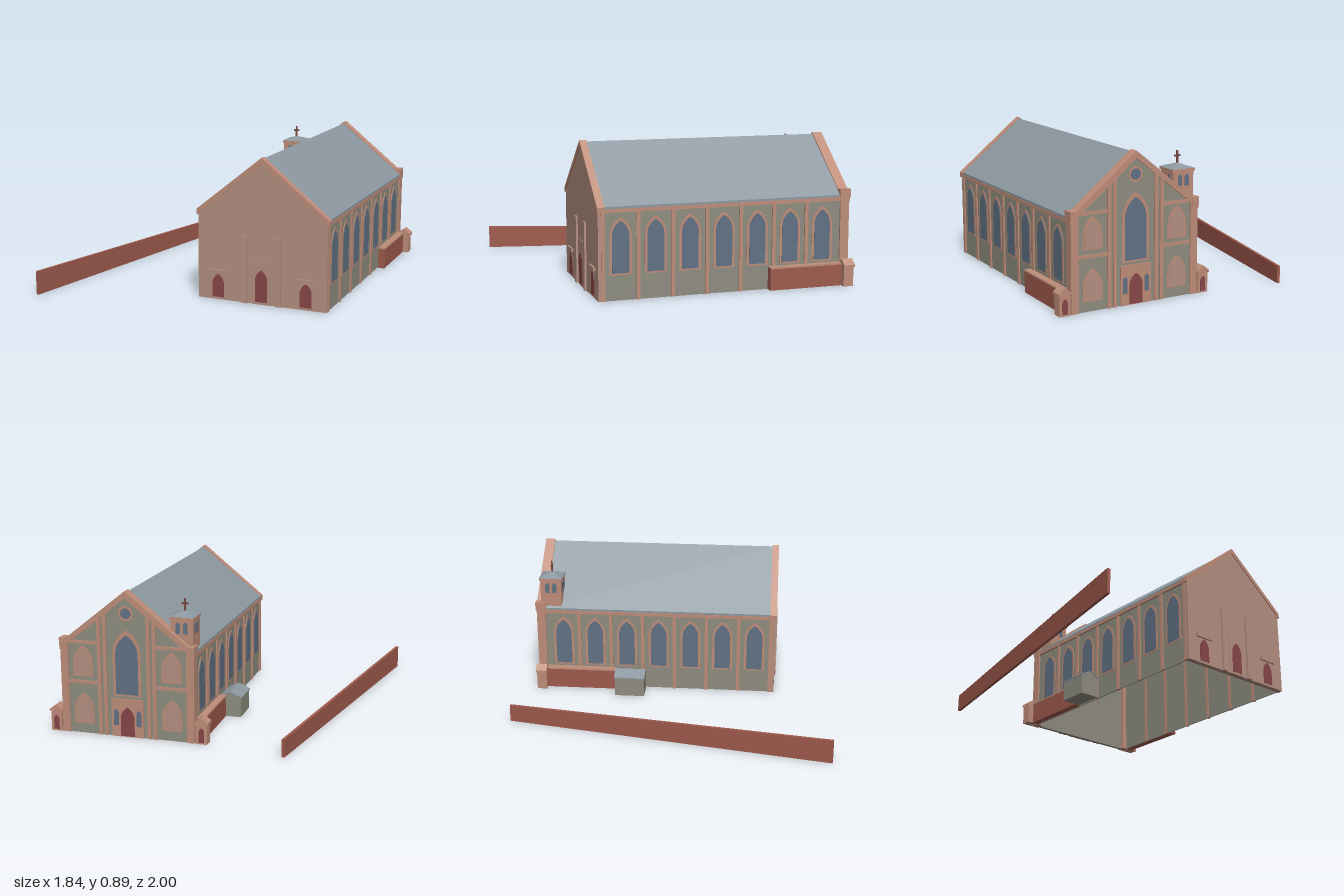
import * as THREE from 'three';

const paint = (name, color) => Object.assign(new THREE.MeshStandardMaterial({ color }), { name });
const M = {
  plaster: paint('pink plaster', 0xb48f81),
  trim: paint('pink stone trim', 0xbe8d79),
  stone: paint('grey stone', 0x8f8d80),
  roof: paint('slate roof', 0x8d98a0),
  glass: paint('blue glass', 0x607185),
  door: paint('maroon door', 0x884649),
  brick: paint('red brick', 0x9f5a4c),
  iron: paint('dark cross', 0x7a4a42),
};
const CX = 0.42; // centre line of the church

function add(parent, name, geo, mat, x = 0, y = 0, z = 0) {
  const m = new THREE.Mesh(geo, mat);
  m.name = name;
  m.position.set(x, y, z);
  parent.add(m);
  return m;
}

// Box given by its limits
function box(parent, name, mat, x0, x1, y0, y1, z0, z1) {
  return add(parent, name, new THREE.BoxGeometry(x1 - x0, y1 - y0, z1 - z0), mat,
    (x0 + x1) / 2, (y0 + y1) / 2, (z0 + z1) / 2);
}

// Outline extruded from z0 to z1
function slab(parent, name, mat, shape, z0, z1, x = 0) {
  const geo = new THREE.ExtrudeGeometry(shape, { depth: z1 - z0, bevelEnabled: false, curveSegments: 8 });
  return add(parent, name, geo, mat, x, 0, z0);
}

const poly = (pts) => new THREE.Shape(pts.map(([x, y]) => new THREE.Vector2(x, y)));

// Pointed arch of width w between y0 and the apex y1
function arch(w, y0, y1) {
  const s = y1 - w * 0.866, h = w / 2;
  const shape = new THREE.Shape();
  shape.moveTo(-h, y0);
  shape.lineTo(h, y0);
  shape.lineTo(h, s);
  shape.absarc(-h, s, w, 0, Math.PI / 3, false);
  shape.absarc(h, s, w, Math.PI * 2 / 3, Math.PI, false);
  return shape;
}

// Inverted V band, centred on x = 0
const chevron = (half, eave, apex, t) => poly([
  [-half, eave - t], [0, apex - t * 1.1], [half, eave - t], [half, eave], [0, apex], [-half, eave]]);

const gable = (half, eave, apex) => poly([[-half, 0], [half, 0], [half, eave], [0, apex], [-half, eave]]);

// Group whose local +z faces outward from the church
function facing(parent, name, angle, x, z) {
  const g = new THREE.Group();
  g.name = name;
  g.rotation.y = angle;
  g.position.set(x, 0, z);
  parent.add(g);
  return g;
}

function sideWall(root, s) {
  const g = facing(root, s > 0 ? 'leftWall' : 'rightWall', s * Math.PI / 2, CX, 0);
  const span = (name, mat, za, zb, y0, y1, d0, d1) =>
    box(g, name, mat, Math.min(-s * za, -s * zb), Math.max(-s * za, -s * zb), y0, y1, d0, d1);
  span('sideWall', M.stone, -0.87, 0.62, 0, 0.535, 0.398, 0.405);
  span('eavesBand', M.trim, -0.92, 0.645, 0.515, 0.537, 0.396, 0.418);
  for (let i = 0; i < 7; i++) {
    const z = 0.51 - i * 0.21;
    slab(g, 'windowFrame', M.trim, arch(0.132, 0.15, 0.487), 0.404, 0.408, -s * z);
    slab(g, 'windowGlass', M.glass, arch(0.102, 0.16, 0.466), 0.404, 0.41, -s * z);
    const p = z + 0.105;
    span('pilaster', M.trim, p - 0.011, p + 0.011, 0, 0.52, 0.394, 0.414);
  }
  // Low yard wall with coping
  span('yardWall', M.brick, -0.87, -0.4, 0, 0.13, 0.41, 0.453);
  span('yardWallCoping', M.trim, -0.87, -0.4, 0.13, 0.14, 0.41, 0.457);
  // Kneelers at the back corners
  span('kneeler', M.trim, -0.93, -0.86, 0.535, 0.585, 0.375, 0.42);
}

function frontWall(root) {
  const g = facing(root, 'frontWall', 0, CX, 0.61);
  slab(g, 'frontGable', M.plaster, gable(0.41, 0.535, 0.87), 0, 0.034);
  slab(g, 'frontCoping', M.trim, chevron(0.42, 0.548, 0.888, 0.032), -0.004, 0.04);
  box(g, 'portalPanel', M.plaster, -0.062, 0.062, 0, 0.285, 0.03, 0.038);
  slab(g, 'mainDoor', M.door, arch(0.078, 0.015, 0.212), 0.034, 0.04);
  for (const s of [-1, 1]) {
    box(g, 'frontPilaster', M.plaster, s * 0.107 - 0.018, s * 0.107 + 0.018, 0, 0.415, 0.03, 0.046);
    slab(g, 'sideDoor', M.door, arch(0.074, 0.015, 0.16), 0.03, 0.037, s * 0.28);
    box(g, 'doorHood', M.plaster, s * 0.28 - 0.062, s * 0.28 + 0.062, 0.165, 0.187, 0.03, 0.046);
  }
}

function backWall(root) {
  const g = facing(root, 'backFacade', Math.PI, CX, -0.87);
  slab(g, 'backGable', M.stone, gable(0.405, 0.535, 0.865), 0.02, 0.044);
  slab(g, 'backCoping', M.trim, chevron(0.42, 0.552, 0.89, 0.04), -0.008, 0.055);
  // Great window, round window and portal
  slab(g, 'greatWindowFrame', M.trim, arch(0.175, 0.25, 0.655), 0.04, 0.047);
  slab(g, 'greatWindow', M.glass, arch(0.14, 0.262, 0.625), 0.04, 0.049);
  for (const [n, m, r, d] of [['roundFrame', M.trim, 0.045, 0.047], ['roundWindow', M.glass, 0.032, 0.049]])
    slab(g, n, m, new THREE.Shape().absarc(0, 0.755, r, 0, Math.PI * 2), 0.04, d).position.y = 0;
  box(g, 'portal', M.trim, -0.1, 0.1, 0, 0.235, 0.04, 0.052);
  slab(g, 'portalDoor', M.door, arch(0.085, 0.005, 0.185), 0.05, 0.056);
  for (const s of [-1, 1]) {
    slab(g, 'portalWindow', M.glass, arch(0.03, 0.07, 0.17), 0.05, 0.055, s * 0.071);
    box(g, 'cornerButtress', M.trim, s * 0.392 - 0.024, s * 0.392 + 0.024, 0, 0.56, -0.004, 0.053);
    // Stepped pilasters up to the sloping coping
    for (const [x, top] of [[0.135, 0.75], [0.172, 0.72]])
      box(g, 'bayPilaster', M.trim, s * x - 0.011, s * x + 0.011, 0, top, 0.04, 0.053);
    for (const y of [0.32, 0.565])
      box(g, 'bayBand', M.trim, s * 0.277 - 0.1, s * 0.277 + 0.1, y - 0.01, y + 0.01, 0.04, 0.051);
    for (const y of [0.06, 0.355]) {
      slab(g, 'blindWindowFrame', M.trim, arch(0.125, y, y + 0.19), 0.04, 0.047, s * 0.277);
      slab(g, 'blindWindow', M.plaster, arch(0.1, y + 0.01, y + 0.17), 0.04, 0.049, s * 0.277);
    }
    // Gabled end piers with small doors
    slab(g, 'endPier', M.trim, gable(0.034, 0.12, 0.15), -0.008, 0.055, s * 0.457);
    slab(g, 'endPierCap', M.trim, chevron(0.041, 0.133, 0.165, 0.016), -0.01, 0.06, s * 0.458);
    slab(g, 'endPierDoor', M.door, arch(0.034, 0.01, 0.1), 0.05, 0.058, s * 0.457);
  }
}

function bellTower(root) {
  const g = facing(root, 'bellTower', 0, 0.086, -0.825);
  box(g, 'towerShaft', M.trim, -0.068, 0.068, 0.5, 0.737, -0.068, 0.068);
  box(g, 'towerCornice', M.trim, -0.074, 0.074, 0.733, 0.75, -0.074, 0.074);
  const cap = add(g, 'towerRoof', new THREE.ConeGeometry(0.076 * Math.SQRT2, 0.027, 4, 1).toNonIndexed(), M.roof, 0, 0.7635, 0);
  cap.geometry.rotateY(Math.PI / 4);
  cap.geometry.computeVertexNormals();
  box(g, 'crossPost', M.iron, -0.005, 0.005, 0.77, 0.847, -0.005, 0.005);
  box(g, 'crossArm', M.iron, -0.019, 0.019, 0.812, 0.823, -0.005, 0.005);
  for (let k = 0; k < 4; k++) {
    const face = facing(g, 'belfryFace', k * Math.PI / 2, 0, 0);
    for (const x of [-0.023, 0.023])
      slab(face, 'belfryOpening', M.glass, arch(0.028, 0.65, 0.72), 0.065, 0.07, x);
  }
}

// Gabled annex beside the church
function annex(root) {
  const wall = poly([[-0.13, 0], [0, 0], [0, 0.128], [-0.062, 0.158], [-0.13, 0.126]]);
  const top = poly([[-0.137, 0.124], [-0.062, 0.157], [0.004, 0.127], [0.004, 0.133], [-0.062, 0.164], [-0.137, 0.131]]);
  const g = facing(root, 'annex', 0, 0, 0);
  slab(g, 'annexWalls', M.stone, wall, -0.395, -0.205);
  slab(g, 'annexRoof', M.roof, top, -0.4, -0.2);
}

// Long boundary wall, lower towards the back
function boundaryWall(root) {
  const len = Math.hypot(0.37, 2) - 0.004;
  const shape = poly([[-len / 2, 0], [len / 2, 0], [len / 2, 0.107], [-len / 2, 0.147]]);
  const g = facing(root, 'boundaryWall', Math.atan2(2, 0.37), -0.729, 0);
  slab(g, 'boundaryBricks', M.brick, shape, -0.009, 0.009);
}

export function createModel() {
  const root = new THREE.Group();
  root.name = 'church';
  sideWall(root, 1);
  sideWall(root, -1);
  frontWall(root);
  backWall(root);
  slab(root, 'mainRoof', M.roof, chevron(0.415, 0.55, 0.879, 0.016), -0.875, 0.612, CX);
  bellTower(root);
  annex(root);
  boundaryWall(root);
  return root;
}
